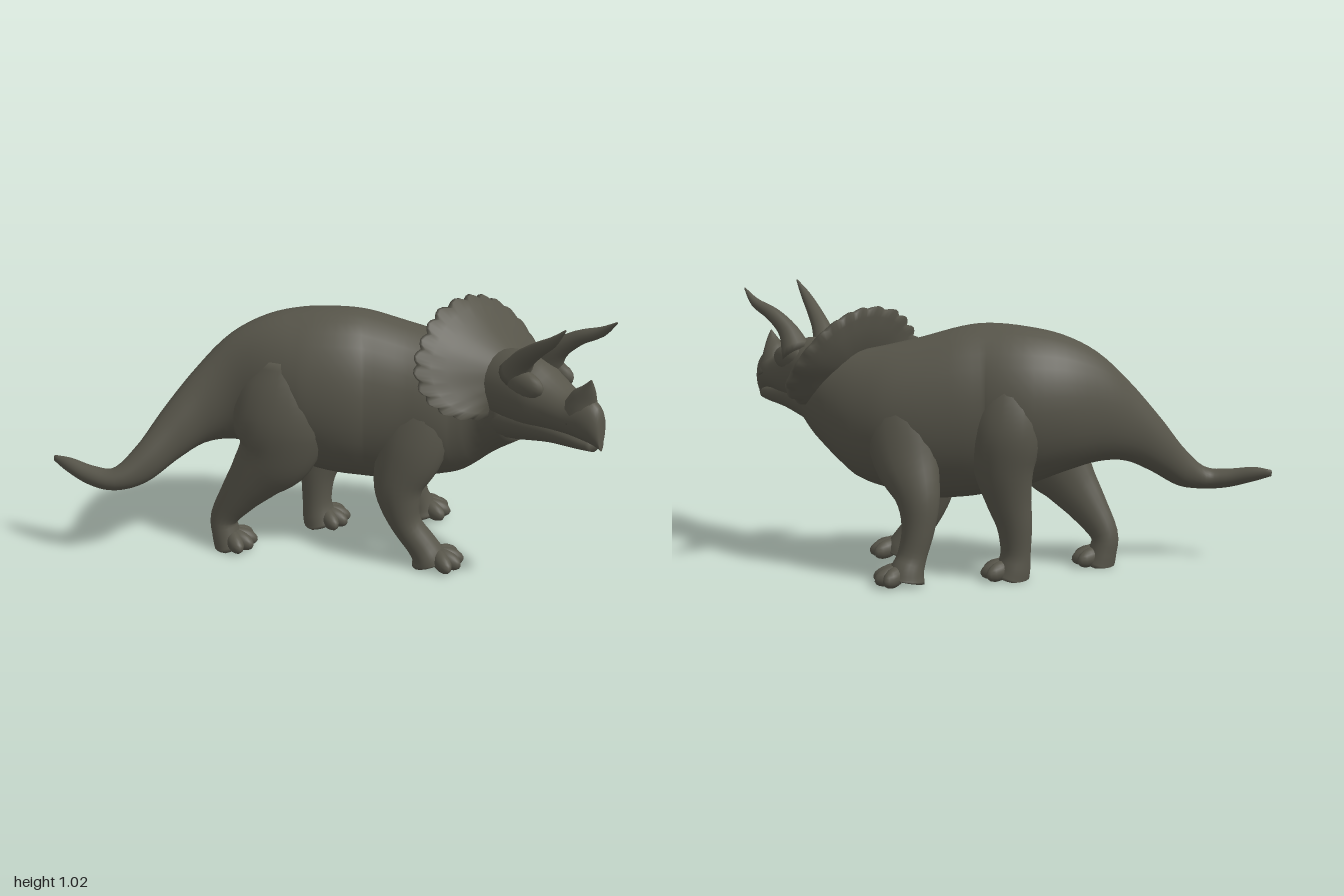
import * as THREE from 'three';

const V = (x, y, z) => new THREE.Vector3(x, y, z);

// Closed smooth surface through rings of points, with a fan at each end
function skin(rings) {
  const n = rings[0].length, m = rings.length;
  const pos = [], idx = [];
  rings.forEach(r => r.forEach(p => pos.push(p.x, p.y, p.z)));
  for (let i = 0; i < m - 1; i++) {
    for (let j = 0; j < n; j++) {
      const k = (j + 1) % n;
      const a = i * n + j, b = i * n + k, c = a + n, d = b + n;
      idx.push(a, c, b, b, c, d);
    }
  }
  [rings[0], rings[m - 1]].forEach((r, e) => {
    const c = r.reduce((s, p) => s.add(p), V(0, 0, 0)).divideScalar(n);
    pos.push(c.x, c.y, c.z);
    for (let j = 0; j < n; j++) {
      const k = (j + 1) % n, o = e * (m - 1) * n;
      idx.push(m * n + e, o + (e ? k : j), o + (e ? j : k));
    }
  });
  const g = new THREE.BufferGeometry();
  g.setAttribute('position', new THREE.Float32BufferAttribute(pos, 3));
  g.setIndex(idx);
  g.computeVertexNormals();
  return g;
}

// Ellipse sections [x, y, z, half width, half height] blended along a curve.
// upright keeps every section vertical; otherwise sections follow the curve.
function loft(list, upright, segs = 20, steps = 4) {
  const path = new THREE.CatmullRomCurve3(list.map(p => V(p[0], p[1], p[2])), false, 'catmullrom');
  const size = new THREE.CatmullRomCurve3(list.map(p => V(p[3], p[4], 0)), false, 'catmullrom');
  const count = (list.length - 1) * steps, rings = [];
  for (let i = 0; i <= count; i++) {
    const c = path.getPoint(i / count), s = size.getPoint(i / count);
    const t = path.getTangent(i / count);
    if (upright) t.setY(0).normalize();
    const side = t.clone().cross(upright ? V(0, 1, 0) : V(1, 0, 0)).normalize();
    const up = side.clone().cross(t);
    const ring = [];
    for (let j = 0; j < segs; j++) {
      const a = j / segs * Math.PI * 2;
      const p = c.clone()
        .addScaledVector(side, Math.max(s.x, 0.003) * Math.cos(a))
        .addScaledVector(up, Math.max(s.y, 0.003) * Math.sin(a));
      p.y = Math.max(p.y, 0);
      ring.push(p);
    }
    rings.push(ring);
  }
  return skin(rings);
}

// Scalloped neck shield flaring out of the skull to its rim
function frillGeometry() {
  const rim = new THREE.CatmullRomCurve3([
    V(0.44, 0.96, -0.06), V(0.37, 0.935, 0.06), V(0.34, 0.87, 0.15), V(0.325, 0.79, 0.21),
    V(0.36, 0.7, 0.24), V(0.43, 0.64, 0.24), V(0.52, 0.61, 0.2), V(0.61, 0.6, 0.06),
    V(0.69, 0.61, -0.09), V(0.71, 0.68, -0.19), V(0.645, 0.79, -0.24),
    V(0.57, 0.88, -0.22), V(0.5, 0.94, -0.15),
  ], true);
  const forward = V(0.9, 0, 0.43).normalize();
  const n = 88, scallops = 22;
  const ring = (centre, t, bend, shift) => Array.from({ length: n }, (_, j) => {
    const wave = t === 1 ? 0.97 + 0.06 * Math.abs(Math.sin(j / n * Math.PI * scallops)) : 1;
    return centre.clone().lerp(rim.getPoint(j / n), t * wave)
      .addScaledVector(forward, shift - bend * Math.sin(Math.PI * t));
  });
  const steps = [0.15, 0.35, 0.55, 0.72, 0.87, 1];
  const front = steps.map(t => ring(V(0.72, 0.745, 0.1), t, 0.03, 0.004));
  const back = steps.map(t => ring(V(0.52, 0.71, -0.01), t, 0.02, -0.012)).reverse();
  return skin([...front, ...back]);
}

export function createModel() {
  const model = new THREE.Group();
  const hide = new THREE.MeshStandardMaterial({ color: 0x57554a });
  hide.name = 'olive grey hide';
  const add = (name, geometry, parent = model) => {
    const mesh = new THREE.Mesh(geometry, hide);
    mesh.name = name;
    parent.add(mesh);
    return mesh;
  };

  // Tail, trunk and neck in one sweep
  add('body', loft([
    [-1, 0.345, 0.283, 0.008, 0.012],
    [-0.93, 0.333, 0.308, 0.025, 0.028],
    [-0.84, 0.312, 0.33, 0.037, 0.035],
    [-0.75, 0.31, 0.332, 0.045, 0.042],
    [-0.66, 0.365, 0.28, 0.055, 0.08],
    [-0.57, 0.465, 0.2, 0.07, 0.115],
    [-0.48, 0.55, 0.132, 0.085, 0.15],
    [-0.38, 0.605, 0.075, 0.125, 0.2],
    [-0.26, 0.62, 0.035, 0.185, 0.25],
    [-0.13, 0.61, 0.01, 0.225, 0.29],
    [0, 0.6, 0.005, 0.225, 0.31],
    [0.1, 0.587, -0.018, 0.218, 0.312],
    [0.24, 0.565, -0.035, 0.212, 0.295],
    [0.36, 0.565, -0.035, 0.205, 0.265],
    [0.47, 0.57, -0.025, 0.175, 0.235],
    [0.57, 0.6, 0.01, 0.14, 0.18],
    [0.68, 0.63, 0.09, 0.1, 0.12],
  ], true, 32));

  // Skull and upper beak
  add('head', loft([
    [0.52, 0.68, 0, 0.11, 0.11],
    [0.62, 0.695, 0.055, 0.122, 0.13],
    [0.72, 0.7, 0.125, 0.115, 0.128],
    [0.8, 0.685, 0.18, 0.092, 0.095],
    [0.87, 0.675, 0.235, 0.07, 0.072],
    [0.93, 0.675, 0.28, 0.052, 0.075],
    [0.965, 0.655, 0.303, 0.032, 0.065],
    [0.975, 0.61, 0.308, 0.012, 0.03],
  ], true, 24));
  add('lowerJaw', loft([
    [0.56, 0.59, 0.01, 0.11, 0.11],
    [0.68, 0.6, 0.095, 0.1, 0.085],
    [0.8, 0.602, 0.178, 0.07, 0.055],
    [0.9, 0.596, 0.25, 0.048, 0.035],
    [0.95, 0.59, 0.287, 0.027, 0.022],
  ], true));

  add('frill', frillGeometry());

  // Horns
  add('leftBrowHorn', loft([
    [0.655, 0.77, 0.15, 0.06, 0.06],
    [0.69, 0.845, 0.2, 0.038, 0.038],
    [0.745, 0.91, 0.275, 0.027, 0.027],
    [0.8, 0.965, 0.345, 0.018, 0.018],
    [0.845, 1.02, 0.38, 0.003, 0.003],
  ], false, 14));
  add('rightBrowHorn', loft([
    [0.745, 0.77, 0.06, 0.06, 0.06],
    [0.79, 0.85, 0.095, 0.038, 0.038],
    [0.86, 0.91, 0.125, 0.027, 0.027],
    [0.94, 0.95, 0.16, 0.018, 0.018],
    [0.995, 1.0, 0.2, 0.003, 0.003],
  ], false, 14));
  add('noseHorn', loft([
    [0.89, 0.67, 0.25, 0.06, 0.075],
    [0.902, 0.74, 0.268, 0.045, 0.052],
    [0.92, 0.79, 0.293, 0.02, 0.027],
    [0.93, 0.83, 0.309, 0.003, 0.003],
  ], false, 12));

  // Brow ridges, mirrored across the head
  const brows = new THREE.Group();
  brows.name = 'brows';
  brows.position.set(0.73, 0.7, 0.13);
  brows.rotation.y = -0.57;
  model.add(brows);
  for (const s of [1, -1]) {
    const brow = add('browRidge', new THREE.SphereGeometry(1, 16, 10), brows);
    brow.scale.set(0.09, 0.05, 0.035);
    brow.position.set(0, 0.055, s * 0.08);
  }

  // Legs: sections from hip to sole, then the foot's x, z and heading
  const legs = {
    leftHindLeg: [[
      [-0.17, 0.73, 0.115, 0.085, 0.1], [-0.175, 0.62, 0.145, 0.1, 0.16],
      [-0.18, 0.51, 0.163, 0.102, 0.175], [-0.2, 0.4, 0.17, 0.085, 0.145],
      [-0.265, 0.31, 0.168, 0.068, 0.105], [-0.335, 0.22, 0.16, 0.056, 0.075],
      [-0.4, 0.12, 0.15, 0.048, 0.052], [-0.395, 0.05, 0.15, 0.058, 0.052],
      [-0.38, 0, 0.15, 0.068, 0.06],
    ], -0.38, 0.15, 0],
    rightHindLeg: [[
      [-0.1, 0.72, -0.11, 0.08, 0.08], [-0.09, 0.62, -0.135, 0.095, 0.12],
      [-0.085, 0.52, -0.148, 0.1, 0.13], [-0.08, 0.41, -0.15, 0.085, 0.11],
      [-0.095, 0.3, -0.14, 0.07, 0.085], [-0.115, 0.2, -0.128, 0.06, 0.065],
      [-0.118, 0.1, -0.12, 0.054, 0.055], [-0.11, 0.04, -0.12, 0.064, 0.062],
      [-0.1, 0.005, -0.12, 0.072, 0.068],
    ], -0.092, -0.125, 0.05],
    leftFrontLeg: [[
      [0.31, 0.66, 0.07, 0.075, 0.09], [0.305, 0.56, 0.09, 0.085, 0.13],
      [0.285, 0.44, 0.112, 0.085, 0.125], [0.25, 0.32, 0.13, 0.07, 0.095],
      [0.255, 0.235, 0.135, 0.06, 0.075], [0.28, 0.155, 0.133, 0.055, 0.056],
      [0.335, 0.08, 0.13, 0.06, 0.055], [0.36, 0.04, 0.13, 0.068, 0.06],
      [0.368, 0.015, 0.13, 0.07, 0.068],
    ], 0.39, 0.13, 0],
    rightFrontLeg: [[
      [0.3, 0.68, -0.14, 0.075, 0.09], [0.29, 0.57, -0.165, 0.085, 0.13],
      [0.265, 0.44, -0.197, 0.08, 0.122], [0.215, 0.31, -0.233, 0.068, 0.082],
      [0.21, 0.2, -0.248, 0.058, 0.06], [0.23, 0.1, -0.262, 0.053, 0.053],
      [0.245, 0.045, -0.278, 0.062, 0.062], [0.25, 0.015, -0.282, 0.07, 0.07],
    ], 0.265, -0.285, 0.35],
  };
  for (const [name, [sections, x, z, heading]] of Object.entries(legs)) {
    const leg = new THREE.Group();
    leg.name = name;
    model.add(leg);
    add('limb', loft(sections, false), leg);
    // Low tapering toes fanned around the front of the foot
    for (let i = 0; i < 4; i++) {
      const a = heading + (i - 1.5) * 0.6;
      const toe = add('toe', new THREE.SphereGeometry(1, 14, 10), leg);
      toe.scale.set(0.062, 0.034, 0.03);
      toe.rotation.set(0, a, -0.25, 'YXZ');
      toe.position.set(x + 0.04 * Math.cos(a), 0.036, z - 0.045 * Math.sin(a));
    }
  }
  return model;
}
